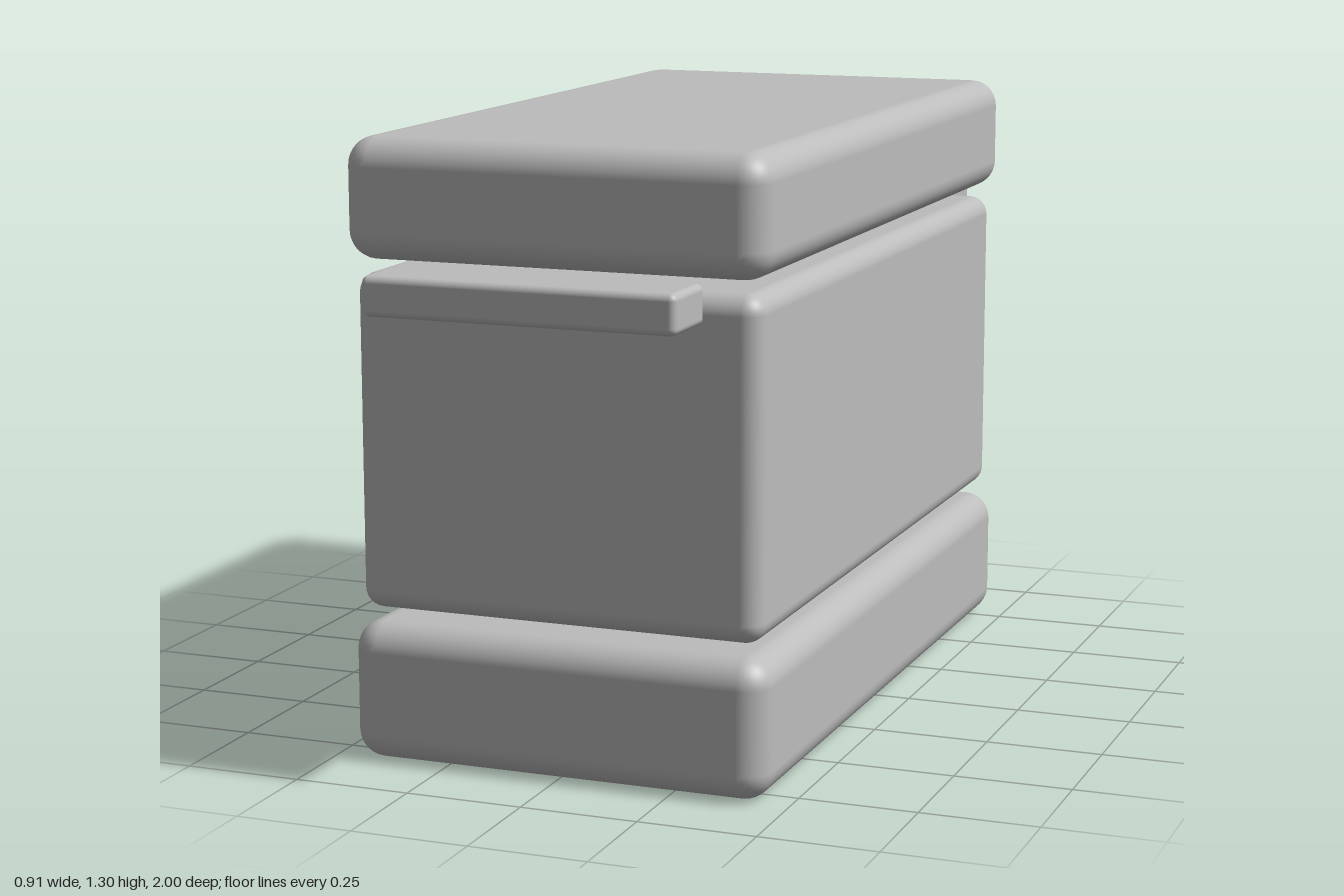
import * as THREE from 'three';
import { RoundedBoxGeometry } from 'three/addons/geometries/RoundedBoxGeometry.js';

export function createModel() {
  const model = new THREE.Group();
  model.name = 'handledBox';
  const grey = new THREE.MeshStandardMaterial({ color: 0xbcbcbc });
  grey.name = 'lightGrey';

  // rounded block between two heights, centred on x
  function block(name, width, depth, bottom, top, radius, z = 0) {
    const geometry = new RoundedBoxGeometry(width, top - bottom, depth, 4, radius);
    const mesh = new THREE.Mesh(geometry, grey);
    mesh.name = name;
    mesh.position.set(0, (bottom + top) / 2, z);
    model.add(mesh);
  }

  // three stacked slabs with open gaps between them
  block('base', 0.914, 1.684, 0, 0.295, 0.06);
  block('body', 0.88, 1.642, 0.322, 1.026, 0.042);
  block('lid', 0.914, 1.684, 1.052, 1.304, 0.06);

  // a grip bar at each end
  for (const [name, side] of [['frontHandle', 1], ['backHandle', -1]]) {
    block(name, 0.666, 0.158, 0.969, 1.052, 0.015, side * 0.921);
  }
  return model;
}
